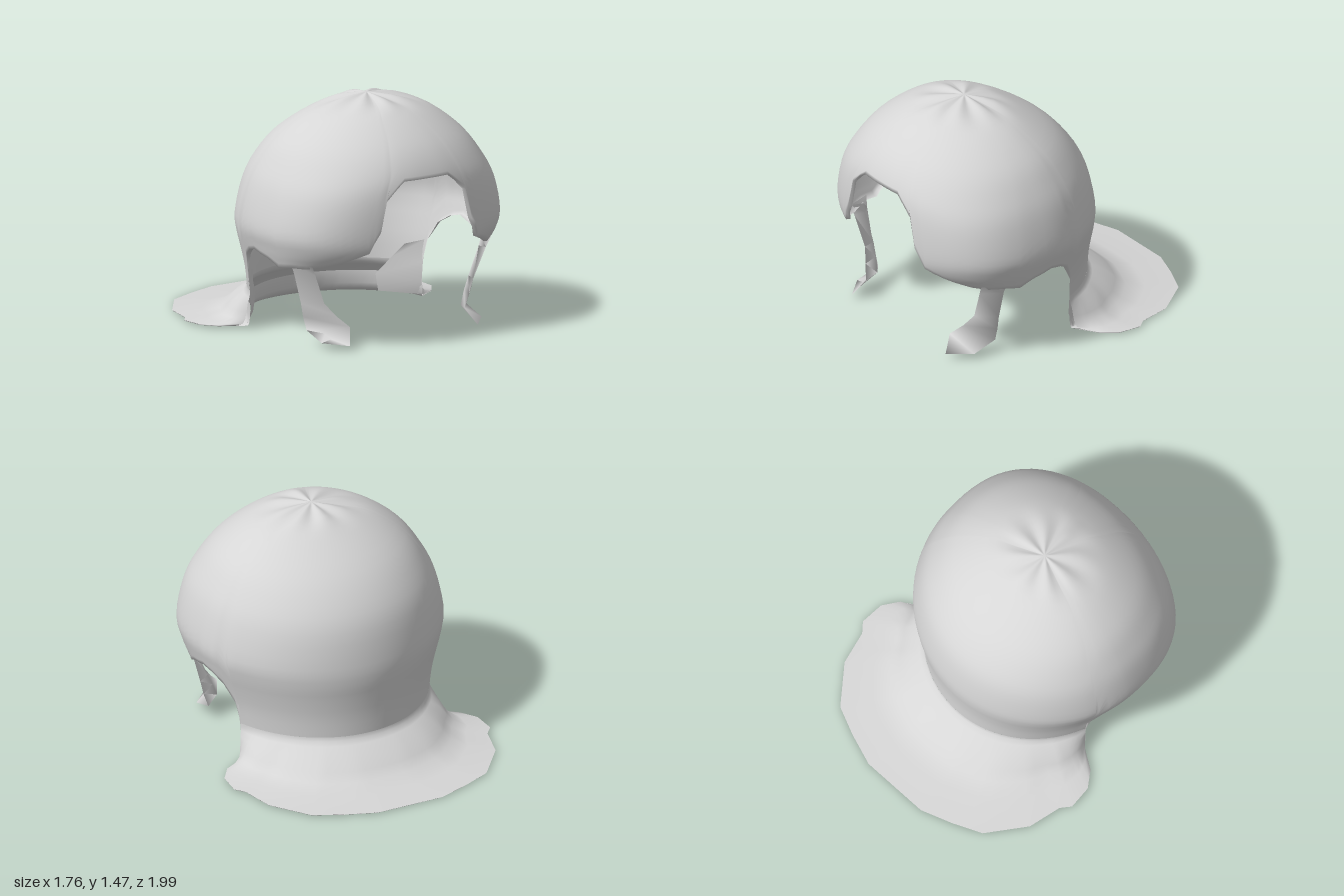
import * as THREE from 'three';
import { mergeVertices } from 'three/addons/utils/BufferGeometryUtils.js';

const hair = new THREE.MeshStandardMaterial({ color: 0xd6d6d6, side: THREE.DoubleSide });
hair.name = 'hair grey';

const CENTRE_Z = 0.34;
const rad = THREE.MathUtils.degToRad;

// Cap sections from crown to nape: height, half width, front z, back z,
// front roundness (1 is elliptical, less is squarer)
const SECTIONS = [
  [1.47, 0, 0.34, 0.34, 1], [1.44, 0.2, 0.55, 0.17, 1], [1.37, 0.4, 0.71, 0.02, 1],
  [1.23, 0.59, 0.88, -0.19, 0.97], [1.08, 0.7, 0.975, -0.33, 0.9], [0.93, 0.77, 1.0, -0.41, 0.81],
  [0.72, 0.815, 1.0, -0.455, 0.78], [0.6, 0.795, 0.98, -0.46, 0.8], [0.5, 0.765, 0.9, -0.45, 0.82],
  [0.37, 0.73, 0.8, -0.44, 0.82], [0.24, 0.71, 0.75, -0.44, 0.82],
];

// Lower edge of the cap: angle from the front, height
const EDGE = [
  [0, 1.05], [11, 1.05], [14, 1.01], [18, 0.94], [19.2, 0.75], [25, 0.62], [40, 0.555],
  [50, 0.52], [60, 0.505], [70, 0.505], [80, 0.49], [87, 0.535], [96, 0.57], [102, 0.55],
  [108, 0.5], [113, 0.38], [114.5, 0.24], [180, 0.24],
];

// Outline of the nape flare: angle, x, z
const FLARE = [
  [114.5, 0.69, -0.04], [119, 0.8, -0.1], [125, 0.87, -0.2], [131, 0.88, -0.35], [136, 0.83, -0.41],
  [145, 0.78, -0.62], [155, 0.6, -0.85], [162, 0.42, -0.93], [168, 0.22, -1], [180, 0, -1],
];

// Linear lookup in a table whose first column increases
function lookup(table, key) {
  let i = 0;
  while (i < table.length - 2 && table[i + 1][0] < key) i++;
  const t = THREE.MathUtils.clamp((key - table[i][0]) / (table[i + 1][0] - table[i][0]), 0, 1);
  return table[i].map((v, k) => v + (table[i + 1][k] - v) * t);
}

// Smooth section at a fractional index
function sectionAt(s) {
  const i = Math.min(Math.floor(s), SECTIONS.length - 2), t = s - i;
  const at = (k) => SECTIONS[THREE.MathUtils.clamp(k, 0, SECTIONS.length - 1)];
  return at(i).map((b, k) => {
    const a = at(i - 1)[k], c = at(i + 1)[k], d = at(i + 2)[k];
    return b + 0.5 * t * (c - a + t * (2 * a - 5 * b + 4 * c - d + t * (3 * (b - c) + d - a)));
  });
}

// Fractional index whose section lies at a given height
function indexAtHeight(y) {
  let lo = 0, hi = SECTIONS.length - 1;
  for (let k = 0; k < 30; k++) {
    const mid = (lo + hi) / 2;
    if (sectionAt(mid)[0] > y) lo = mid; else hi = mid;
  }
  return lo;
}

// Point on the cap: squarish in front, round behind, creased at the crown
function capPoint(deg, s) {
  const [y, w, zf, zb, roundness] = sectionAt(s);
  const sin = Math.sin(rad(deg)), cos = Math.cos(rad(deg));
  const p = cos > 0 ? roundness : 1;
  const x = Math.sign(sin) * Math.abs(sin) ** p * w;
  const z = CENTRE_Z + (cos > 0 ? cos ** p * (zf - CENTRE_Z) : cos * (CENTRE_Z - zb));
  const crease = 0.01 * Math.cos(rad(deg * 8)) * Math.max(0, 1 - Math.abs(s - 0.9) / 0.9);
  return [x, y + crease, z];
}

// Surface through columns of points
function gridMesh(columns, name) {
  const rows = columns[0].length, index = [];
  for (let j = 0; j < columns.length - 1; j++) {
    for (let i = 0; i < rows - 1; i++) {
      const a = j * rows + i, c = a + rows;
      index.push(a, a + 1, c, c, a + 1, c + 1);
    }
  }
  const geometry = new THREE.BufferGeometry();
  geometry.setAttribute('position', new THREE.Float32BufferAttribute(columns.flat(2), 3));
  geometry.setIndex(index);
  const merged = mergeVertices(geometry, 1e-4);
  merged.computeVertexNormals();
  const mesh = new THREE.Mesh(merged, hair);
  mesh.name = name;
  return mesh;
}

// Angles that hit every corner of a table, split to at most five degrees
function anglesOf(table) {
  const out = [];
  for (let i = 0; i < table.length - 1; i++) {
    const a = table[i][0], b = table[i + 1][0], n = Math.ceil((b - a) / 5);
    for (let k = 0; k < n; k++) out.push(a + ((b - a) * k) / n);
  }
  return [...out, 180];
}

// Domed cap with a cut-out face and ears and a narrow turned-in rim
function makeCap() {
  const half = anglesOf(EDGE);
  const angles = [...half.slice(1).reverse().map((a) => -a), ...half];
  const columns = angles.map((deg) => {
    const end = indexAtHeight(lookup(EDGE, Math.abs(deg))[1]);
    const column = [];
    for (let k = 0; k <= 30; k++) column.push(capPoint(deg, (end * k) / 30));
    const [x, y, z] = column[30];
    const tuck = Math.abs(deg) < 110 ? 0.965 : 1;
    column.push([x * tuck, y, CENTRE_Z + (z - CENTRE_Z) * tuck]);
    return column;
  });
  return gridMesh(columns, 'hairCap');
}

// Nape hair sweeping out to a flat rim, then folding back underneath
function makeFlare() {
  const profile = [
    [0, 0.24], [0.01, 0.215], [0.06, 0.192], [0.2, 0.15], [0.32, 0.09], [0.43, 0.045], [0.64, 0.014],
    [1, 0.005], [0.99, 0], [0.6, 0], [0.15, 0.015], [0.05, 0.04], [0, 0.08], [0, 0.16],
  ];
  const half = anglesOf(FLARE);
  const angles = [...half, ...half.slice(0, -1).reverse().map((a) => 360 - a)];
  const columns = angles.map((deg) => {
    const side = deg > 180 ? -1 : 1;
    const [, ox, oz] = lookup(FLARE, deg > 180 ? 360 - deg : deg);
    const [nx, , nz] = capPoint(deg, SECTIONS.length - 1);
    const lift = 0.015 * (1 + oz);
    return profile.map(([f, y]) => [nx + (side * ox - nx) * f, y + lift * Math.min(1, f * 3), nz + (oz - nz) * f]);
  });
  return gridMesh(columns, 'napeFlare');
}

// Fold turning in from the front edge of the nape
function makeNapeFold(side) {
  const outer = [[0.67, 0.38, 0.02], [0.65, 0.24, 0.02], [0.64, 0.12, 0.02], [0.66, 0.03, 0]];
  const inner = [[0.57, 0.35, -0.06], [0.52, 0.26, -0.13], [0.45, 0.15, -0.2], [0.47, 0.04, -0.2]];
  const columns = [inner, outer].map((c) => c.map(([x, y, z]) => [side * x, y, z]));
  if (side < 0) columns.reverse();
  return gridMesh(columns, side > 0 ? 'leftNapeFold' : 'rightNapeFold');
}

// Flat lock in front of each ear, its foot turned inward and forward:
// thin sections given by back edge, front edge and inner face
function makeSideLock(side) {
  const levels = [
    [[0.72, 0.53, 0.55], [0.67, 0.53, 0.71], [0.66, 0.52, 0.62]],
    [[0.7, 0.46, 0.56], [0.64, 0.47, 0.7], [0.65, 0.46, 0.61]],
    [[0.65, 0.27, 0.56], [0.56, 0.28, 0.68], [0.58, 0.28, 0.6]],
    [[0.63, 0.18, 0.555], [0.5, 0.2, 0.72], [0.54, 0.2, 0.61]],
    [[0.6, 0.09, 0.55], [0.43, 0.13, 0.77], [0.5, 0.11, 0.63]],
    [[0.6, 0.04, 0.71], [0.48, 0.03, 0.84], [0.52, 0.04, 0.75]],
  ];
  const order = side > 0 ? [0, 2, 1, 0] : [0, 1, 2, 0];
  const columns = order.map((k) => levels.map((l) => [side * l[k][0], l[k][1], l[k][2]])).reverse();
  return gridMesh(columns, side > 0 ? 'leftSideLock' : 'rightSideLock');
}

export function createModel() {
  const group = new THREE.Group();
  group.name = 'hairpiece';
  group.add(makeCap(), makeFlare());
  for (const side of [1, -1]) group.add(makeSideLock(side), makeNapeFold(side));
  return group;
}
